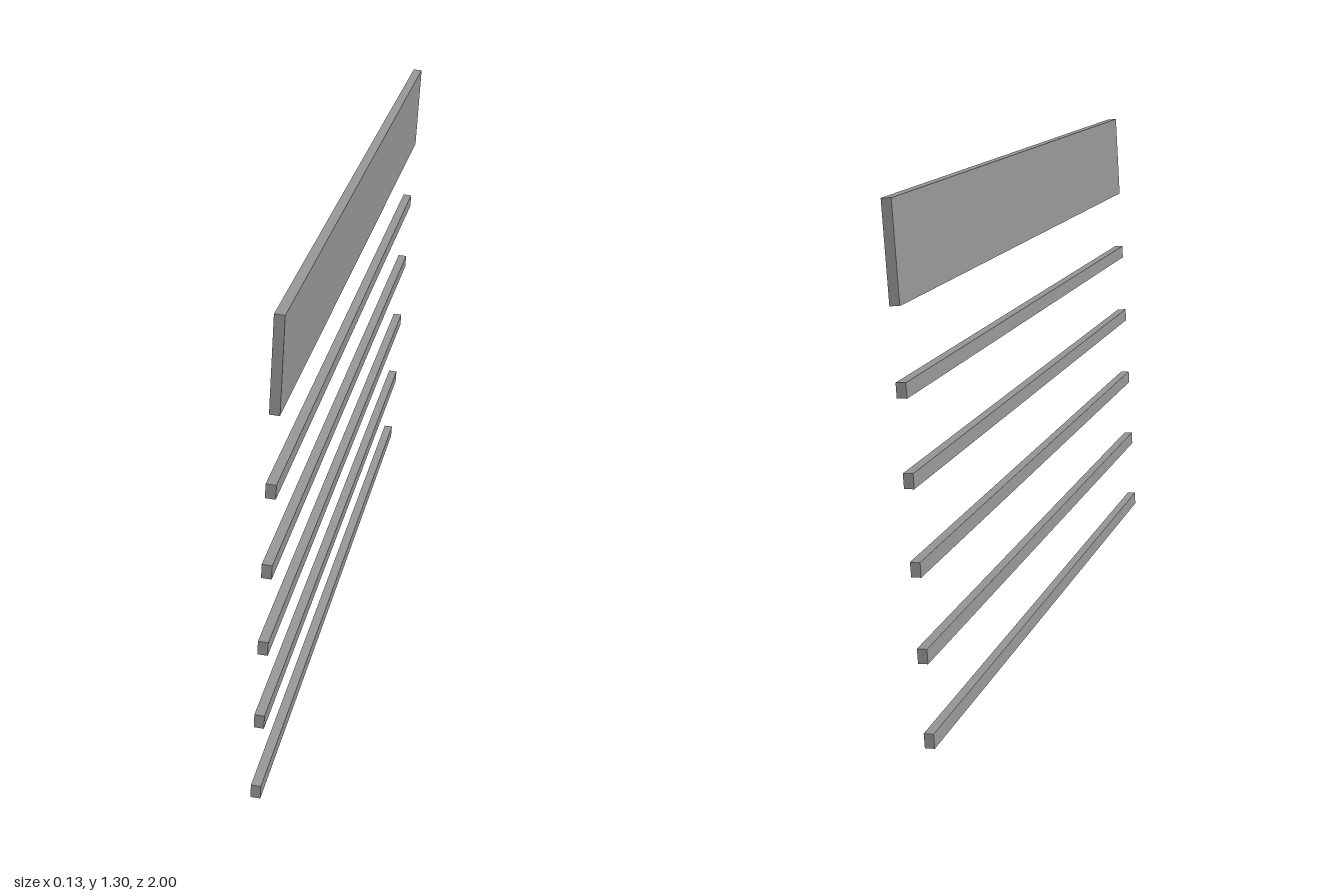
import * as THREE from 'three';

export function createModel() {
  const model = new THREE.Group();
  const material = new THREE.MeshStandardMaterial({ color: 0x979797, flatShading: true });
  const lean = 0.064; // rack tilts towards +x
  const yaw = 0.0105; // slight turn about the vertical
  const midY = 0.65;

  // One long slat, tilted and turned with the whole rack
  function addSlat(name, y, height) {
    const slat = new THREE.Mesh(new THREE.BoxGeometry(0.025, height, 2), material);
    slat.name = name;
    slat.position.set((y - midY) * Math.tan(lean), y, 0);
    slat.rotation.set(0, yaw, -lean);
    model.add(slat);
  }

  // Five narrow rails, evenly spaced
  for (let i = 0; i < 5; i++) addSlat('rail' + (i + 1), 0.0195 + i * 0.2115, 0.037);

  // Wide board at the top
  addSlat('topBoard', 1.179, 0.242);

  return model;
}
